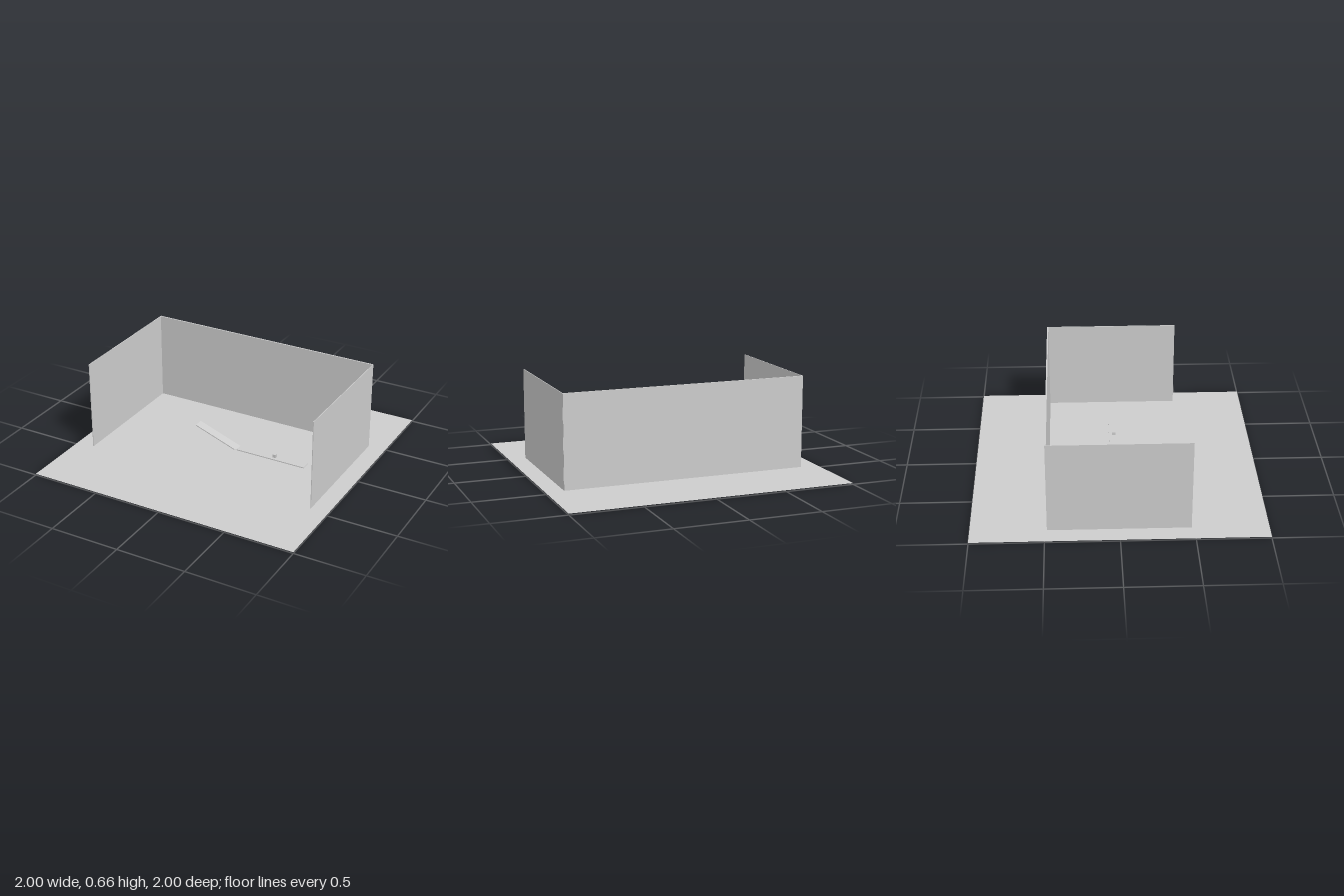
import * as THREE from 'three';

export function createModel() {
  const model = new THREE.Group();
  const grey = new THREE.MeshStandardMaterial({ color: 0xcccccc, side: THREE.DoubleSide });
  grey.name = 'light grey';

  const FLOOR = 0.009, WALL_TOP = 0.663, TRACK = 0.007, TRACK_WIDTH = 0.07;

  function add(name, geometry, x, y, z) {
    const mesh = new THREE.Mesh(geometry, grey);
    mesh.name = name;
    mesh.position.set(x, y, z);
    model.add(mesh);
    return mesh;
  }
  const box = (w, h, d) => new THREE.BoxGeometry(w, h, d);

  // Floor sheet
  add('floor', new THREE.PlaneGeometry(2, 2).rotateX(-Math.PI / 2), 0, FLOOR, 0);

  // Three walls, open towards the front
  const wallHeight = WALL_TOP - FLOOR;
  const wallY = FLOOR + wallHeight / 2;
  add('backWall', box(1.742, wallHeight, 0.01), 0, wallY, -0.48);
  for (const side of [-1, 1]) {
    add(side > 0 ? 'leftWall' : 'rightWall', box(0.005, wallHeight, 0.96), side * 0.87, wallY, 0);
  }

  // Level track, with its underside just above the floor
  add('track', box(0.535, TRACK, TRACK_WIDTH), 0.3325, FLOOR + 0.0005 + TRACK / 2, 0);

  // Sloping ramp whose foot dips slightly through the floor
  const angle = THREE.MathUtils.degToRad(20);
  const length = 0.358;
  const rampY = (length * Math.sin(angle) + TRACK * Math.cos(angle)) / 2;
  add('ramp', box(length, TRACK, TRACK_WIDTH), -0.104, rampY, 0).rotation.z = -angle;

  // Small block resting on the track
  const size = 0.025;
  add('block', box(size, size, size), 0.355, FLOOR + TRACK + size / 2 - 0.001, 0);

  return model;
}
